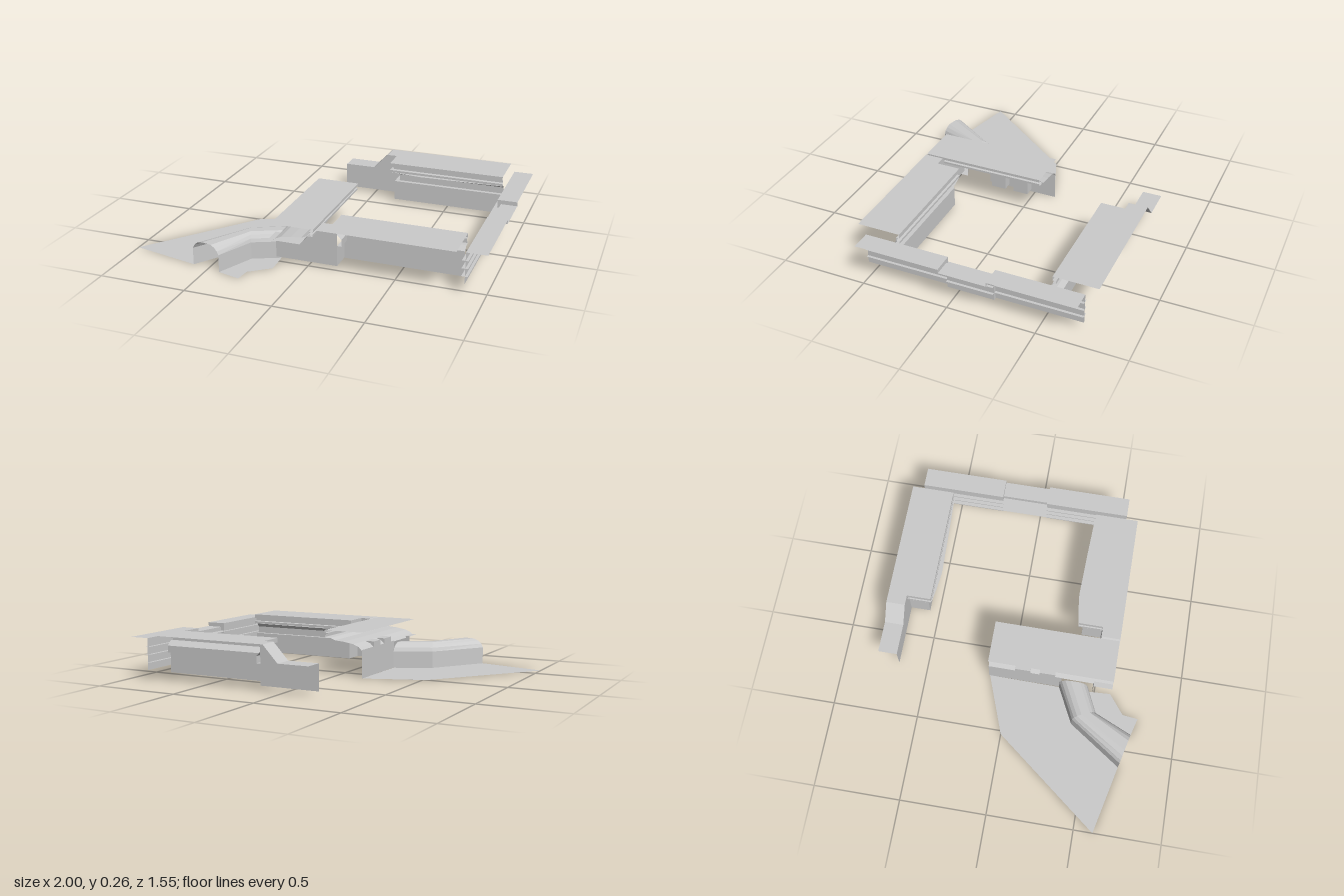
import * as THREE from 'three';

const material = new THREE.MeshStandardMaterial({ color: 0xcccccc, flatShading: true, side: THREE.DoubleSide });

function addMesh(parent, name, geometry) {
  const mesh = new THREE.Mesh(geometry, material);
  mesh.name = name;
  parent.add(mesh);
  return mesh;
}

// Open sheet joining successive rows of [x, y, z] points
function ribbon(rows) {
  const pos = [];
  for (let i = 0; i < rows.length - 1; i++) {
    for (let j = 0; j < rows[i].length - 1; j++) {
      const a = rows[i][j], b = rows[i + 1][j], c = rows[i + 1][j + 1], d = rows[i][j + 1];
      pos.push(...a, ...b, ...c, ...a, ...c, ...d);
    }
  }
  const g = new THREE.BufferGeometry();
  g.setAttribute('position', new THREE.Float32BufferAttribute(pos, 3));
  g.computeVertexNormals();
  return g;
}

// Sheet from an x-y profile stretched between two z positions
const alongZ = (profile, z0, z1) => ribbon([z0, z1].map(z => profile.map(([x, y]) => [x, y, z])));

// Horizontal plate from an x-z outline
function plate(outline, y) {
  const g = new THREE.ShapeGeometry(new THREE.Shape(outline.map(p => new THREE.Vector2(...p))));
  return g.rotateX(Math.PI / 2).translate(0, y, 0);
}

// Upright panel from an x-y outline
function panel(outline, z) {
  return new THREE.ShapeGeometry(new THREE.Shape(outline.map(p => new THREE.Vector2(...p)))).translate(0, 0, z);
}

// Long side: roof plate, stepped arm, moulded wall that turns a corner
function sideSection(name) {
  const side = new THREE.Group();
  side.name = name;
  addMesh(side, 'roofPlate', plate(
    [[0.08, -0.78], [0.85, -0.78], [0.85, -0.53], [0.14, -0.53], [0.14, -0.67], [0.08, -0.67]], 0.265));
  addMesh(side, 'armTop', alongZ([[-0.195, 0.17], [-0.01, 0.17], [0.08, 0.265]], -0.78, -0.67));
  addMesh(side, 'armWall', panel(
    [[-0.195, 0.02], [0.165, 0.02], [0.165, 0.265], [0.08, 0.265], [-0.01, 0.17], [-0.195, 0.17]], -0.67));
  // [offset into the room, height]
  const moulding = [[0, 0.02], [0, 0.14], [-0.025, 0.14], [-0.025, 0.18], [0, 0.205], [0.025, 0.205],
    [0.025, 0.22], [0.005, 0.222], [0.005, 0.24], [0.025, 0.24], [0.025, 0.265]];
  addMesh(side, 'mouldedWall', ribbon([
    moulding.map(([o, y]) => [0.165 - o, y, -0.67]),
    moulding.map(([o, y]) => [0.165 - o, y, -0.555 + o]),
    moulding.map(([o, y]) => [0.85, y, -0.555 + o]),
  ]));
  addMesh(side, 'bowedLedge', plate(
    [[0.14, -0.53], [0.24, -0.515], [0.34, -0.505], [0.6, -0.514], [0.85, -0.525], [0.85, -0.555], [0.165, -0.555]], 0.207));
  return side;
}

// End strip: two outer lengths and a set-back middle length
function endStrip() {
  const strip = new THREE.Group();
  strip.name = 'endStrip';
  const lengths = [[-0.72, -0.23, 0.885, 0.238], [-0.23, 0.04, 0.905, 0.214], [0.04, 0.53, 0.885, 0.238]];
  lengths.forEach(([z0, z1, x, top], i) => {
    addMesh(strip, 'stripProfile' + (i + 1), alongZ([[x, 0.055], [x, top], [1, top]], z0, z1));
    for (const y of [0.1, 0.145, 0.19]) {
      addMesh(strip, 'stripLedge', alongZ([[0.865, y], [x + 0.015, y]], z0, z1));
    }
  });
  // step faces where the profile changes
  for (const z of [-0.23, 0.04]) {
    addMesh(strip, 'stripStep', panel(
      [[0.885, 0.055], [0.905, 0.055], [0.905, 0.214], [1, 0.214], [1, 0.238], [0.885, 0.238]], z));
  }
  return strip;
}

// Cross section: roof plate, cornice, back wall and piers
function crossSection() {
  const cross = new THREE.Group();
  cross.name = 'crossSection';
  const cornice = [[-0.18, 0.265], [0.068, 0.265], [0.068, 0.25], [0.045, 0.25], [0.045, 0.238], [0.065, 0.236],
    [0.065, 0.225], [0.03, 0.222], [0, 0.21], [-0.06, 0.205], [-0.12, 0.195], [-0.155, 0.18], [-0.175, 0.16]];
  addMesh(cross, 'roofAndCornice', alongZ(cornice, -0.13, 0.595));
  addMesh(cross, 'backWall', alongZ([[-0.175, 0], [-0.175, 0.165]], -0.13, 0.3));
  for (const z of [0.07, 0.215]) {
    const pier = addMesh(cross, 'pier', new THREE.BoxGeometry(0.06, 0.18, 0.09));
    pier.position.set(-0.145, 0.105, z);
  }
  return cross;
}

// Outside ground with a bent, hollow covered passage
function passage() {
  const group = new THREE.Group();
  group.name = 'passage';
  const left = [[-0.178, 0.29], [-0.39, 0.395], [-0.6, 0.7]];
  const right = [[-0.178, 0.455], [-0.33, 0.525], [-0.425, 0.74]];
  addMesh(group, 'ground', plate([[-1, 0.61], [-0.52, 0], [-0.175, -0.125], ...left], 0));
  addMesh(group, 'smallGround', plate([...right, [-0.295, 0.775], [-0.285, 0.685], [-0.17, 0.595]], 0));
  // [share of the way across, height]
  const arch = [[0, 0], [0, 0.1], [0.07, 0.122], [0.2, 0.14], [0.38, 0.15], [0.72, 0.15], [0.85, 0.138], [0.95, 0.12], [1, 0.1], [1, 0]];
  addMesh(group, 'passageShell', ribbon(left.map(([x, z], i) =>
    arch.map(([t, y]) => [x + (right[i][0] - x) * t, y, z + (right[i][1] - z) * t]))));
  return group;
}

export function createModel() {
  const model = new THREE.Group();
  model.name = 'roomSurround';
  model.add(sideSection('backSide'));
  // the front side mirrors the back one
  const front = sideSection('frontSide');
  front.scale.z = -1;
  front.position.z = -0.183;
  model.add(front, endStrip(), crossSection(), passage());
  return model;
}
